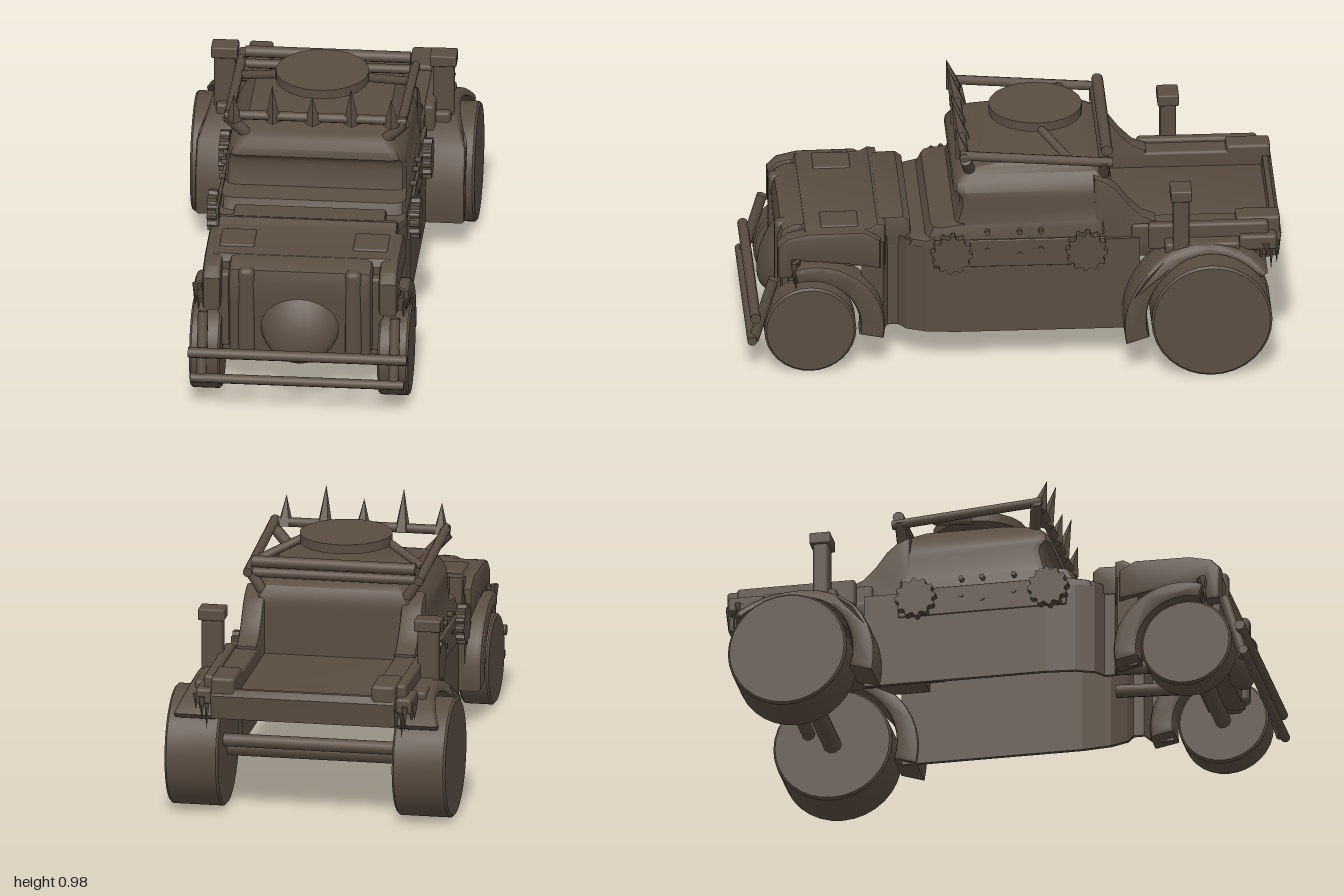
import * as THREE from 'three';
import { toCreasedNormals } from 'three/addons/utils/BufferGeometryUtils.js';
import { RoundedBoxGeometry } from 'three/addons/geometries/RoundedBoxGeometry.js';

export function createModel() {
  const truck = new THREE.Group();
  truck.name = 'truck';
  const paint = new THREE.MeshStandardMaterial({ color: 0x5a4d41, side: THREE.DoubleSide });
  paint.name = 'rusty brown';

  const add = (name, geo) => {
    const m = new THREE.Mesh(geo, paint);
    m.name = name;
    truck.add(m);
    return m;
  };
  const both = (fn) => [-1, 1].forEach(fn);
  const box = (name, x0, x1, y0, y1, z0, z1, r = 0.012) => add(name,
    new RoundedBoxGeometry(x1 - x0, y1 - y0, z1 - z0, 2, r)
      .translate((x0 + x1) / 2, (y0 + y1) / 2, (z0 + z1) / 2));
  const bar = (name, a, b, r, sides = 10) => {
    const p = new THREE.Vector3(...a), q = new THREE.Vector3(...b);
    const m = add(name, new THREE.CylinderGeometry(r, r, p.distanceTo(q), sides));
    m.position.copy(p).lerp(q, 0.5);
    m.quaternion.setFromUnitVectors(new THREE.Vector3(0, 1, 0), q.sub(p).normalize());
  };
  const shapeOf = (pts) => new THREE.Shape(pts.map((p) => new THREE.Vector2(...p)));
  // Side profile of [z, y] points, extruded from x0 to x1; narrow(x, y) may reshape the width
  const side = (name, pts, x0, x1, bevel = 0.01, narrow = (x) => x) => {
    const g = new THREE.ExtrudeGeometry(shapeOf(pts), {
      depth: x1 - x0 - 2 * bevel, bevelEnabled: bevel > 0, bevelThickness: bevel,
      bevelSize: bevel, bevelOffset: -bevel, bevelSegments: 2,
    }).rotateY(-Math.PI / 2).translate(x1 - bevel, 0, 0);
    const p = g.attributes.position;
    for (let i = 0; i < p.count; i++) p.setX(i, narrow(p.getX(i), p.getY(i)));
    add(name, toCreasedNormals(g, 0.6));
  };
  // Arc band around a wheel centre, thinning from r1 to r2, angles in degrees from +z
  const archPts = (cz, cy, r0, r1, r2, a0, a1) => {
    const pts = [], n = 18;
    for (let k = 0; k < 2 * (n + 1); k++) {
      const outer = k <= n;
      const t = outer ? k / n : (2 * n + 1 - k) / n;
      const a = THREE.MathUtils.degToRad(a0 + (a1 - a0) * t);
      const r = outer ? THREE.MathUtils.lerp(r1, r2, Math.min(1, t * 1.4)) : r0;
      pts.push([cz + r * Math.cos(a), cy + r * Math.sin(a)]);
    }
    return pts;
  };

  // Open-bottomed stack of chamfered rectangles: [y, half width, front z, back z, corner]
  const loft = (name, levels) => {
    const rings = levels.map(([y, w, f, b, c]) => [
      [-w + c, f], [w - c, f], [w - c * 0.3, f - c * 0.3], [w, f - c], [w, b + c], [w - c, b],
      [-w + c, b], [-w, b + c], [-w, f - c], [-w + c * 0.3, f - c * 0.3],
    ].map(([x, z]) => [x, y, z]));
    const pos = [], n = rings[0].length, last = rings.length - 1;
    const top = [0, levels[last][0], (levels[last][2] + levels[last][3]) / 2];
    for (let j = 0; j < n; j++) {
      const k = (j + 1) % n;
      for (let i = 0; i < last; i++) {
        const [a, b, c, d] = [rings[i][j], rings[i][k], rings[i + 1][k], rings[i + 1][j]];
        pos.push(...a, ...b, ...c, ...a, ...c, ...d);
      }
      pos.push(...top, ...rings[last][j], ...rings[last][k]);
    }
    const g = new THREE.BufferGeometry();
    g.setAttribute('position', new THREE.Float32BufferAttribute(pos, 3));
    add(name, toCreasedNormals(g, 0.6));
  };

  // Hollow lower body: a thin wall on each side, pinched behind the front fenders
  const wall = [[0.36, -0.47], [0.36, 0.22], [0.348, 0.33], [0.32, 0.4],
    [0.28, 0.43], [0.28, 0.47], [0.34, 0.49], [0.35, 0.57]];
  const plan = [...wall, ...wall.map(([x, z]) => [x - 0.015, z]).reverse()];
  both((s) => add('bodySide', new THREE.ExtrudeGeometry(
    shapeOf(plan.map(([x, z]) => [s * x, -z])), { depth: 0.37, bevelEnabled: false })
    .rotateX(-Math.PI / 2).translate(0, 0.13, 0)));

  // Cab and cowl with a rounded roof, and swept rear flanks
  loft('cab', [
    [0.48, 0.35, 0.41, -0.37, 0.07], [0.505, 0.35, 0.4, -0.37, 0.07], [0.515, 0.348, 0.33, -0.37, 0.04],
    [0.556, 0.345, 0.31, -0.37, 0.04], [0.567, 0.34, 0.22, -0.37, 0.04],
    [0.64, 0.337, 0.2, -0.37, 0.04], [0.67, 0.335, 0.205, -0.37, 0.04],
    [0.69, 0.33, 0.224, -0.37, 0.04], [0.72, 0.315, 0.222, -0.365, 0.04],
    [0.75, 0.293, 0.2, -0.35, 0.04], [0.77, 0.275, 0.17, -0.33, 0.04],
    [0.785, 0.262, 0.08, -0.3, 0.05], [0.79, 0.2, 0.0, -0.25, 0.05],
  ]);
  both((s) => side('cabFlank', [[-0.3, 0.45], [-0.3, 0.74], [-0.35, 0.72], [-0.39, 0.685],
    [-0.43, 0.63], [-0.48, 0.58], [-0.53, 0.56], [-0.53, 0.45]], s * 0.3 - 0.04, s * 0.3 + 0.04));

  // Cargo bed
  side('bedFloor', [[-0.36, 0.42], [-0.36, 0.49], [-0.96, 0.49], [-0.965, 0.525], [-0.985, 0.525],
    [-1, 0.5], [-0.99, 0.41], [-0.94, 0.4], [-0.9, 0.45], [-0.56, 0.45], [-0.5, 0.42]], -0.35, 0.35, 0.006);
  both((s) => {
    box('bedRail', s * 0.305 - 0.045, s * 0.305 + 0.045, 0.46, 0.55, -0.97, -0.44);
    box('bedCorner', s * 0.305 - 0.045, s * 0.305 + 0.045, 0.5, 0.57, -0.995, -0.83);
    box('bedTrim', s * 0.365 - 0.02, s * 0.365 + 0.02, 0.46, 0.565, -0.95, -0.5);
    box('tailBracket', s * 0.38 - 0.03, s * 0.38 + 0.03, 0.46, 0.52, -0.98, -0.84);
  });

  // Hood, grille and nose
  side('hoodNeck', [[0.38, 0.46], [0.385, 0.56], [0.41, 0.578], [0.5, 0.575], [0.5, 0.46]], -0.285, 0.285);
  side('hood', [[0.48, 0.4], [0.48, 0.57], [0.51, 0.575], [0.54, 0.558], [0.78, 0.555],
    [0.8, 0.53], [0.8, 0.4]], -0.335, 0.335);
  side('grille', [[0.72, 0.555], [0.82, 0.553], [0.865, 0.53], [0.88, 0.48], [0.875, 0.4],
    [0.86, 0.19], [0.72, 0.19], [0.72, 0.36]], -0.27, 0.27, 0.025);
  const nose = add('nose', new THREE.SphereGeometry(1, 24, 16));
  nose.scale.set(0.15, 0.16, 0.075);
  nose.position.set(0, 0.32, 0.85);
  nose.rotation.x = -0.4;
  both((s) => {
    box('grillePost', s * 0.2 - 0.03, s * 0.2 + 0.03, 0.19, 0.54, 0.8, 0.888, 0.02);
    box('outerPost', s * 0.28 - 0.03, s * 0.28 + 0.03, 0.2, 0.5, 0.72, 0.84);
    box('hoodPanel', s * 0.25 - 0.065, s * 0.25 + 0.065, 0.54, 0.563, 0.58, 0.72, 0.008);
    side('fenderPanel', [[0.5, 0.4], [0.5, 0.52], [0.56, 0.555], [0.77, 0.553], [0.85, 0.535],
      [0.885, 0.5], [0.885, 0.37], [0.83, 0.37], [0.82, 0.44], [0.62, 0.42]],
    s * 0.33 - 0.035, s * 0.33 + 0.035, 0.015);
  });

  // Fenders, with torn strips hanging off the edges
  both((s) => {
    side('frontFender', archPts(0.765, 0.18, 0.188, 0.25, 0.28, 75, 191), s * 0.345 - 0.06, s * 0.345 + 0.06, 0.02);
    side('rearFender', archPts(-0.73, 0.23, 0.243, 0.335, 0.275, -18, 140), s * 0.42 - 0.085, s * 0.42 + 0.085,
      0.012, (x, y) => x - s * 0.5 * Math.max(0, y - 0.4) * (Math.abs(x) - 0.335) / 0.17);
    for (let i = 0; i < 6; i++) {
      const len = 0.06 + 0.035 * ((i * 2) % 3);
      const tear = (name, x, y, z) => add(name, new THREE.ConeGeometry(0.012, len, 4)
        .rotateX(Math.PI).translate(x, y - len / 2, z));
      tear('frontTatter', s * (0.34 + 0.011 * i), 0.45, 0.81 + 0.008 * (i % 3));
      tear('rearTatter', s * (0.37 + 0.015 * (i % 4)), 0.49, -0.88 - 0.02 * i);
    }
  });

  // Wheels, axles and chassis bars
  const wheel = (name, x0, x1, r, z) => {
    const w = x1 - x0, c = 0.008;
    const prof = [[0, -w / 2], [r - c, -w / 2], [r, -w / 2 + c], [r, w / 2 - c], [r - c, w / 2], [0, w / 2]];
    both((s) => add(name, toCreasedNormals(
      new THREE.LatheGeometry(prof.map((p) => new THREE.Vector2(...p)), 32), 0.5)
      .rotateZ(Math.PI / 2).translate(s * (x0 + x1) / 2, r + 0.005, z)));
  };
  wheel('frontWheel', 0.295, 0.41, 0.172, 0.765);
  wheel('rearWheel', 0.33, 0.533, 0.226, -0.73);
  bar('frontAxle', [-0.3, 0.175, 0.765], [0.3, 0.175, 0.765], 0.03);
  bar('rearAxle', [-0.35, 0.23, -0.73], [0.35, 0.23, -0.73], 0.035);
  bar('rearCrossbar', [-0.35, 0.28, -0.82], [0.35, 0.28, -0.82], 0.025);
  both((s) => bar('chassisBar', [s * 0.1, 0.24, 0.4], [s * 0.1, 0.22, 0.85], 0.025));

  // Front bumper
  bar('upperBumper', [-0.41, 0.23, 0.97], [0.41, 0.23, 0.97], 0.02);
  bar('lowerBumper', [-0.4, 0.132, 0.982], [0.4, 0.132, 0.982], 0.018);
  both((s) => {
    bar('bumperStrut', [s * 0.36, 0.37, 0.9], [s * 0.36, 0.12, 0.975], 0.02);
    bar('bumperMount', [s * 0.36, 0.2, 0.765], [s * 0.36, 0.23, 0.97], 0.018);
  });

  // Exhaust stacks
  both((s) => {
    box('exhaustStack', s * 0.41 - 0.04, s * 0.41 + 0.04, 0.46, 0.7, -0.65, -0.59);
    box('exhaustCap', s * 0.41 - 0.05, s * 0.41 + 0.05, 0.69, 0.735, -0.66, -0.58, 0.006);
    box('exhaustPipe', s * 0.4 - 0.04, s * 0.4 + 0.04, 0.46, 0.51, -0.84, -0.56);
  });

  // Door plates, gears and bolts
  const teeth = [];
  for (let i = 0; i < 48; i++) {
    const a = i * Math.PI / 24, r = i % 4 < 2 ? 0.078 : 0.066;
    teeth.push([r * Math.cos(a), r * Math.sin(a)]);
  }
  both((s) => {
    box('doorPlate', s * 0.36 - 0.006, s * 0.36 + 0.006, 0.4, 0.51, -0.34, 0.3, 0.004);
    for (const z of [0.235, -0.27]) {
      side('gear', teeth.map(([a, b]) => [z + a, 0.465 + b]), s * 0.38 - 0.018, s * 0.38 + 0.018, 0);
    }
    for (const [z, y] of [[0.1, 0.54], [-0.02, 0.54], [-0.1, 0.54], [0.1, 0.47], [-0.02, 0.45], [-0.1, 0.47]]) {
      bar('bolt', [s * 0.347, y, z], [s * 0.37, y, z], 0.01, 6);
    }
  });

  // Roof rack
  bar('rackFront', [-0.34, 0.84, 0.185], [0.34, 0.84, 0.185], 0.018);
  bar('rackRearTop', [-0.31, 0.84, -0.35], [0.31, 0.84, -0.35], 0.022);
  bar('rackRearLow', [-0.33, 0.795, -0.34], [0.33, 0.795, -0.34], 0.018);
  both((s) => {
    bar('rackSide', [s * 0.325, 0.845, 0.2], [s * 0.325, 0.8, -0.37], 0.018);
    bar('rackFrontStrut', [s * 0.335, 0.83, 0.18], [s * 0.26, 0.75, 0.16], 0.022);
    bar('rackRearStrut', [s * 0.33, 0.81, -0.34], [s * 0.27, 0.72, -0.34], 0.02);
    bar('hatchStrut', [s * 0.31, 0.81, -0.21], [s * 0.15, 0.875, -0.1], 0.016);
  });
  [-0.305, -0.16, -0.01, 0.135, 0.285].forEach((x, i) => {
    const h = i % 2 ? 0.165 : 0.12;
    const g = new THREE.ConeGeometry(0.032, h, 5).toNonIndexed();
    g.computeVertexNormals();
    add('spike', g.rotateX(0.25).translate(x, 0.82 + h / 2, 0.2));
  });
  add('roofHatch', new THREE.CylinderGeometry(0.175, 0.175, 0.036, 20).translate(0, 0.88, -0.1));

  return truck;
}
